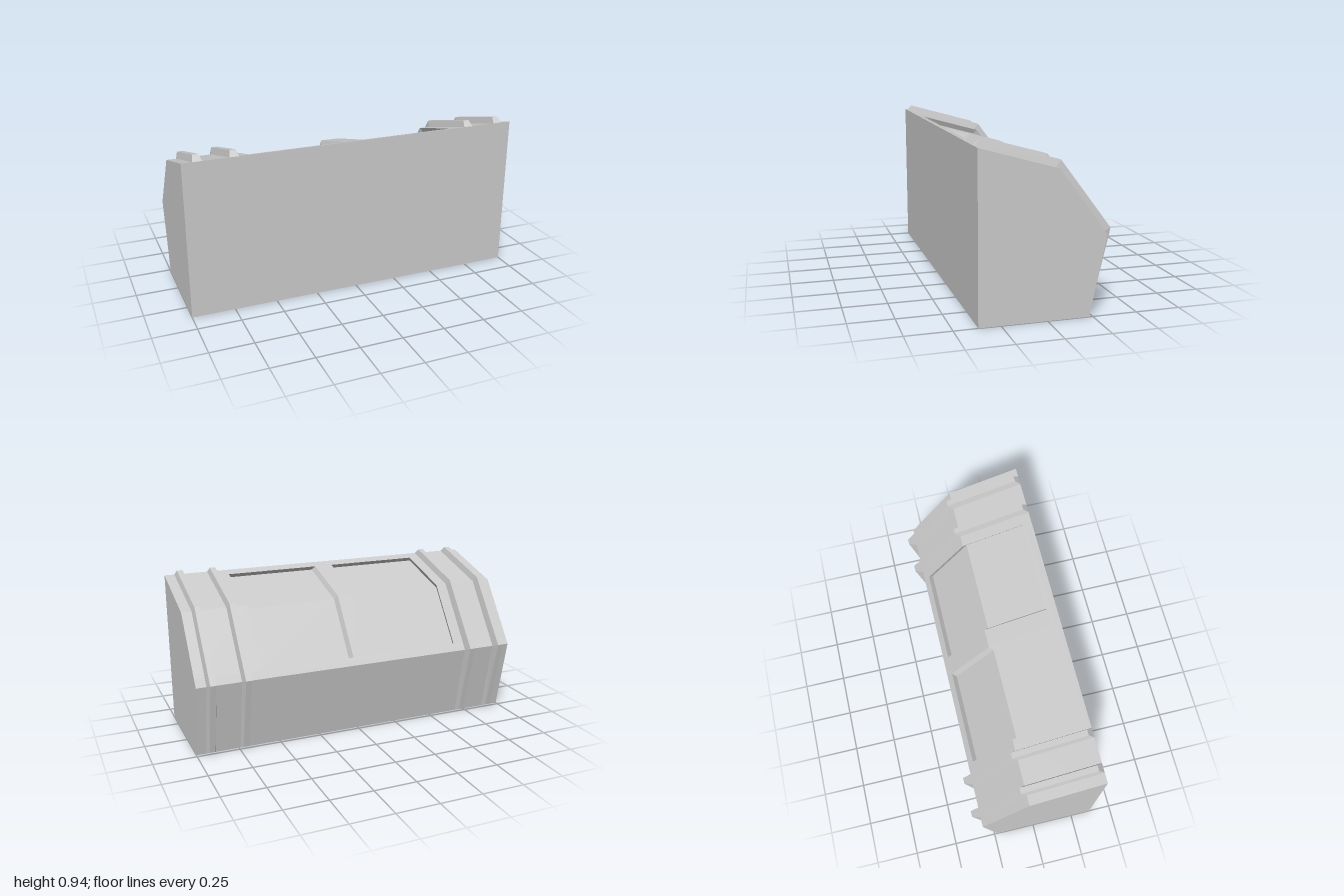
import * as THREE from 'three';

const material = new THREE.MeshStandardMaterial({ color: 0xcccccc, flatShading: true });

// Side profile points as [z, y], running up the front, over the top and down the back
const frontFoot = [0.37, 0], frontTop = [0.37, 0.915], winTop = [0.315, 0.899];
const ridge = [-0.055, 0.795], winLow = [-0.29, 0.478], back = [-0.32, 0.437], backFoot = [-0.23, 0];

const at = (x, [z, y]) => [x, y, z];

// Flat-shaded mesh from polygons with counter-clockwise corners
function polyMesh(name, polygons) {
  const pos = [];
  for (const p of polygons) {
    for (let i = 1; i < p.length - 1; i++) pos.push(...p[0], ...p[i], ...p[i + 1]);
  }
  const geo = new THREE.BufferGeometry();
  geo.setAttribute('position', new THREE.Float32BufferAttribute(pos, 3));
  geo.computeVertexNormals();
  const mesh = new THREE.Mesh(geo, material);
  mesh.name = name;
  return mesh;
}

// Quads spanning x0..x1 along a path
function strip(x0, x1, path) {
  return path.slice(1).map((b, i) => [at(x0, path[i]), at(x1, path[i]), at(x1, b), at(x0, b)]);
}

// Skins a row of [left, right] corner pairs
function skin(rows) {
  return rows.slice(1).map((b, i) => [rows[i][0], rows[i][1], b[1], b[0]]);
}

// Housing with two openings in its sloped faces
function housing() {
  const outline = [frontFoot, frontTop, ridge, back, backFoot];
  const polys = [
    outline.map(p => at(-1, p)),
    outline.map(p => at(1, p)).reverse(),
    ...strip(-1, 1, [frontFoot, frontTop, winTop]),
    ...strip(-1, 1, [winLow, back, backFoot, frontFoot]),
  ];
  for (const [x0, x1] of [[-1, -0.62], [-0.055, 0.055], [0.62, 1]]) {
    polys.push(...strip(x0, x1, [winTop, ridge, winLow]));
  }
  return polyMesh('housing', polys);
}

// Sunken panel: the opening's outline shifted inward and outward, joined by walls
function panel(name, x0, x1, shiftX) {
  const lip = [winTop, ridge, winLow].map(p => [at(x0, p), at(x1, p)]);
  const floor = lip.map(row => row.map(([x, y, z]) => [x + shiftX, y - 0.025, z + 0.025]));
  const polys = skin([lip[0], ...floor, lip[2]]);
  for (let i = 0; i < 2; i++) {
    polys.push([lip[i + 1][0], lip[i][0], floor[i][0], floor[i + 1][0]]);
    polys.push([lip[i][1], lip[i + 1][1], floor[i + 1][1], floor[i][1]]);
  }
  return polyMesh(name, polys);
}

// Bevelled rib wrapping over the top and back
function rib(x) {
  const pairs = (path, half) => path.map(p => [at(x - half, p), at(x + half, p)]);
  const base = pairs([frontTop, ridge, back, backFoot], 0.027);
  const crest = pairs([[0.338, 0.945], [-0.086, 0.827], [-0.368, 0.455], [-0.265, 0.017]], 0.017);
  const polys = skin([base[0], ...crest, base[3]]);
  for (let i = 0; i < 3; i++) {
    polys.push([base[i + 1][0], base[i][0], crest[i][0], crest[i + 1][0]]);
    polys.push([base[i][1], base[i + 1][1], crest[i + 1][1], crest[i][1]]);
  }
  return polyMesh('rib', polys);
}

export function createModel() {
  const group = new THREE.Group();
  group.name = 'console';
  group.add(housing());
  group.add(panel('leftPanel', 0.055, 0.62, 0.015));
  group.add(panel('rightPanel', -0.62, -0.055, -0.015));
  for (const x of [-0.914, -0.714, 0.714, 0.914]) group.add(rib(x));
  return group;
}
